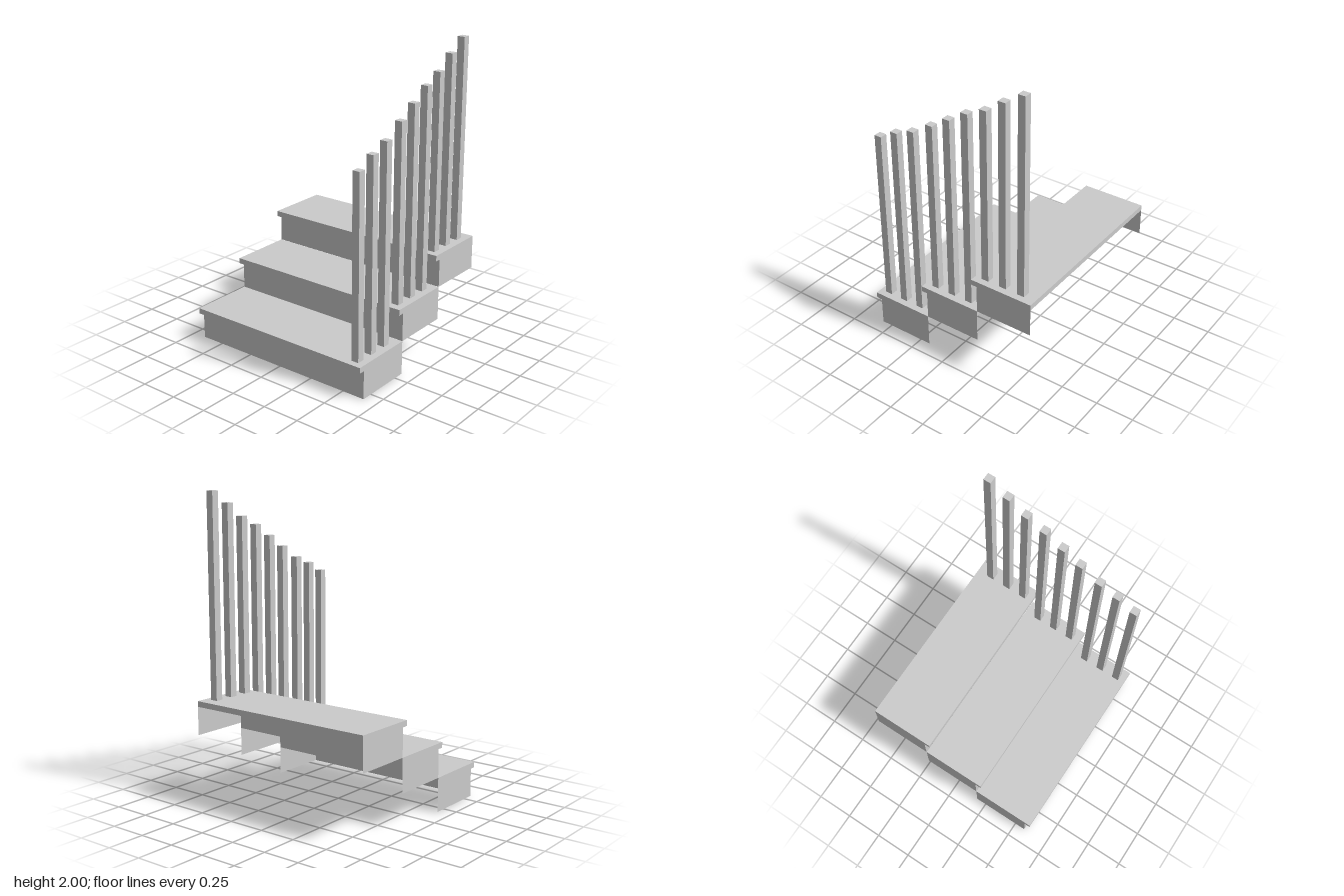
import * as THREE from 'three';

const WIDTH = 1.314;
const RISE = 0.2243;
const RUN = 0.395;
const TREAD_T = 0.037;
const TREAD_D = 0.434;
const BODY_D = 0.394;

export function createModel() {
  const model = new THREE.Group();
  const solid = new THREE.MeshStandardMaterial({ color: 0xcccccc, flatShading: true });
  const sheet = new THREE.MeshStandardMaterial({ color: 0xcccccc, flatShading: true, side: THREE.DoubleSide });

  const add = (parent, name, geometry, material, x, y, z) => {
    const mesh = new THREE.Mesh(geometry, material);
    mesh.name = name;
    mesh.position.set(x, y, z);
    parent.add(mesh);
    return mesh;
  };

  // Three hollow steps, open at the back and underneath
  const wallH = RISE - TREAD_T;
  for (let i = 0; i < 3; i++) {
    const step = new THREE.Group();
    step.name = `step${i + 1}`;
    step.position.set(0, i * RISE, 0.613 - i * RUN); // origin at the nosing
    model.add(step);

    add(step, 'tread', new THREE.BoxGeometry(WIDTH, TREAD_T, TREAD_D), solid,
      0, RISE - TREAD_T / 2, -TREAD_D / 2);
    add(step, 'riser', new THREE.PlaneGeometry(WIDTH, wallH), sheet,
      0, wallH / 2, BODY_D - TREAD_D);
    for (const side of [-1, 1]) {
      const wall = add(step, side > 0 ? 'leftWall' : 'rightWall',
        new THREE.PlaneGeometry(BODY_D, wallH), sheet,
        side * WIDTH / 2, wallH / 2, -TREAD_D + BODY_D / 2);
      wall.rotation.y = side * Math.PI / 2;
    }
  }

  // Square balusters, three on each tread: [z, top height]
  const balusters = [
    [0.545, 1.41], [0.416, 1.475], [0.286, 1.525],
    [0.142, 1.61], [0.013, 1.69], [-0.118, 1.77],
    [-0.249, 1.83], [-0.378, 1.92], [-0.51, 2.0],
  ];
  balusters.forEach(([z, top], i) => {
    const base = RISE * (Math.floor(i / 3) + 1);
    add(model, `baluster${i + 1}`, new THREE.BoxGeometry(0.05, top - base, 0.05), solid,
      0.588, (top + base) / 2, z);
  });

  return model;
}
